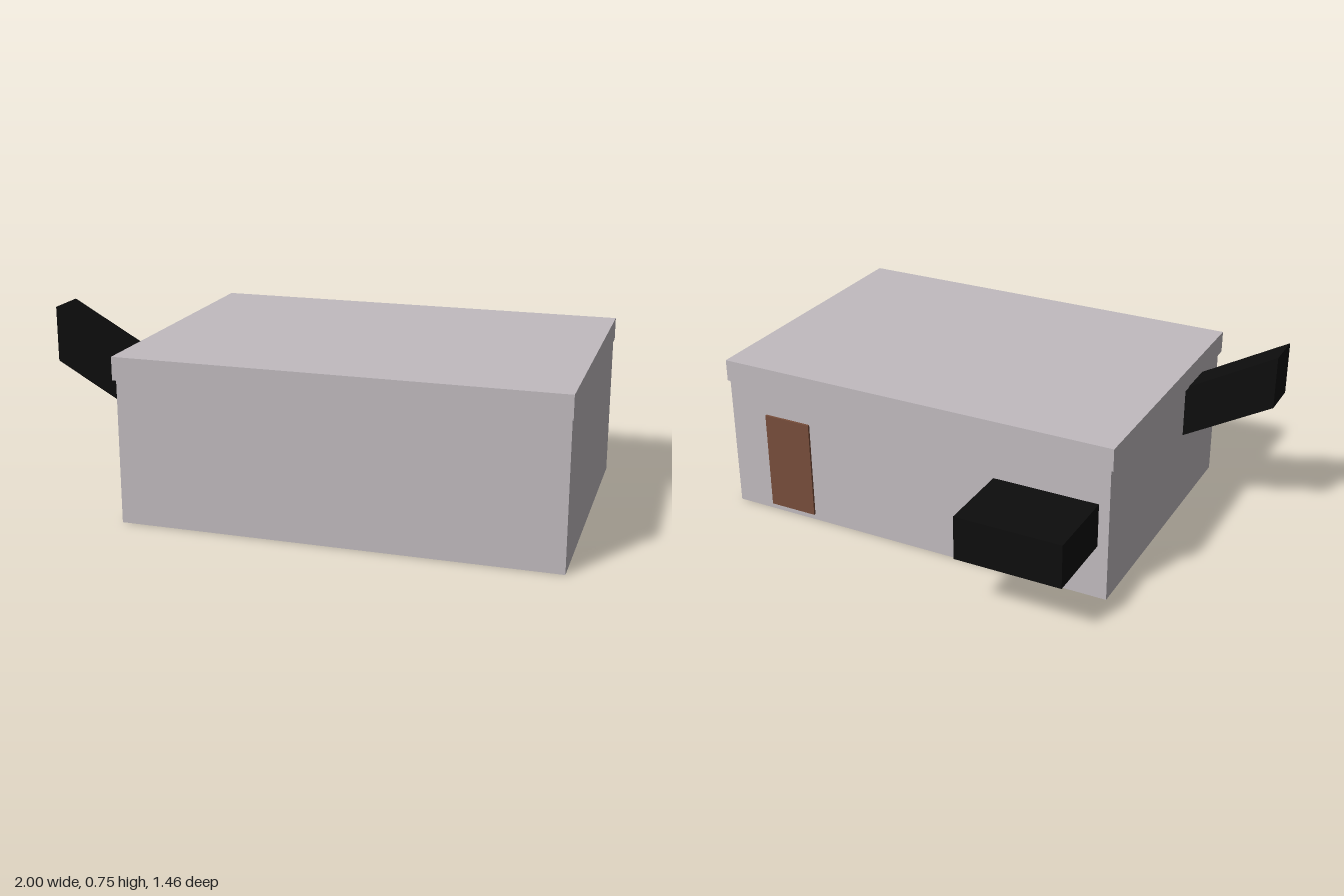
import * as THREE from 'three';

const paint = (name, color) => {
  const m = new THREE.MeshStandardMaterial({ color });
  m.name = name;
  return m;
};

export function createModel() {
  const group = new THREE.Group();
  group.name = 'building';
  const concrete = paint('pale grey', 0xc1bbbf);
  const wood = paint('door brown', 0x784e3b);
  const black = paint('black', 0x0d0d0d);

  const add = (name, geometry, material) => {
    const mesh = new THREE.Mesh(geometry, material);
    mesh.name = name;
    group.add(mesh);
    return mesh;
  };
  // Box given by its lower and upper corners
  const box = (name, [x0, y0, z0], [x1, y1, z1], material) =>
    add(name, new THREE.BoxGeometry(x1 - x0, y1 - y0, z1 - z0), material)
      .position.set((x0 + x1) / 2, (y0 + y1) / 2, (z0 + z1) / 2);

  // Main block and its slightly overhanging roof slab
  box('walls', [-0.645, 0, -0.42], [0.996, 0.55, 0.72], concrete);
  box('roof', [-0.657, 0.547, -0.432], [1, 0.635, 0.728], concrete);

  // Back door and the box-shaped duct beside it
  box('door', [0.63, 0.025, -0.429], [0.832, 0.428, -0.42], wood);
  box('backDuct', [-0.603, 0.22, -0.73], [-0.18, 0.395, -0.42], black);

  // Slanted chute rising from the side wall
  const outline = new THREE.Shape([
    [-0.645, 0.335], [-0.645, 0.545], [-1, 0.745], [-1, 0.535],
  ].map(([x, y]) => new THREE.Vector2(x, y)));
  add('sideChute', new THREE.ExtrudeGeometry(outline, { depth: 0.157, bevelEnabled: false }), black)
    .position.z = 0.332;

  return group;
}
